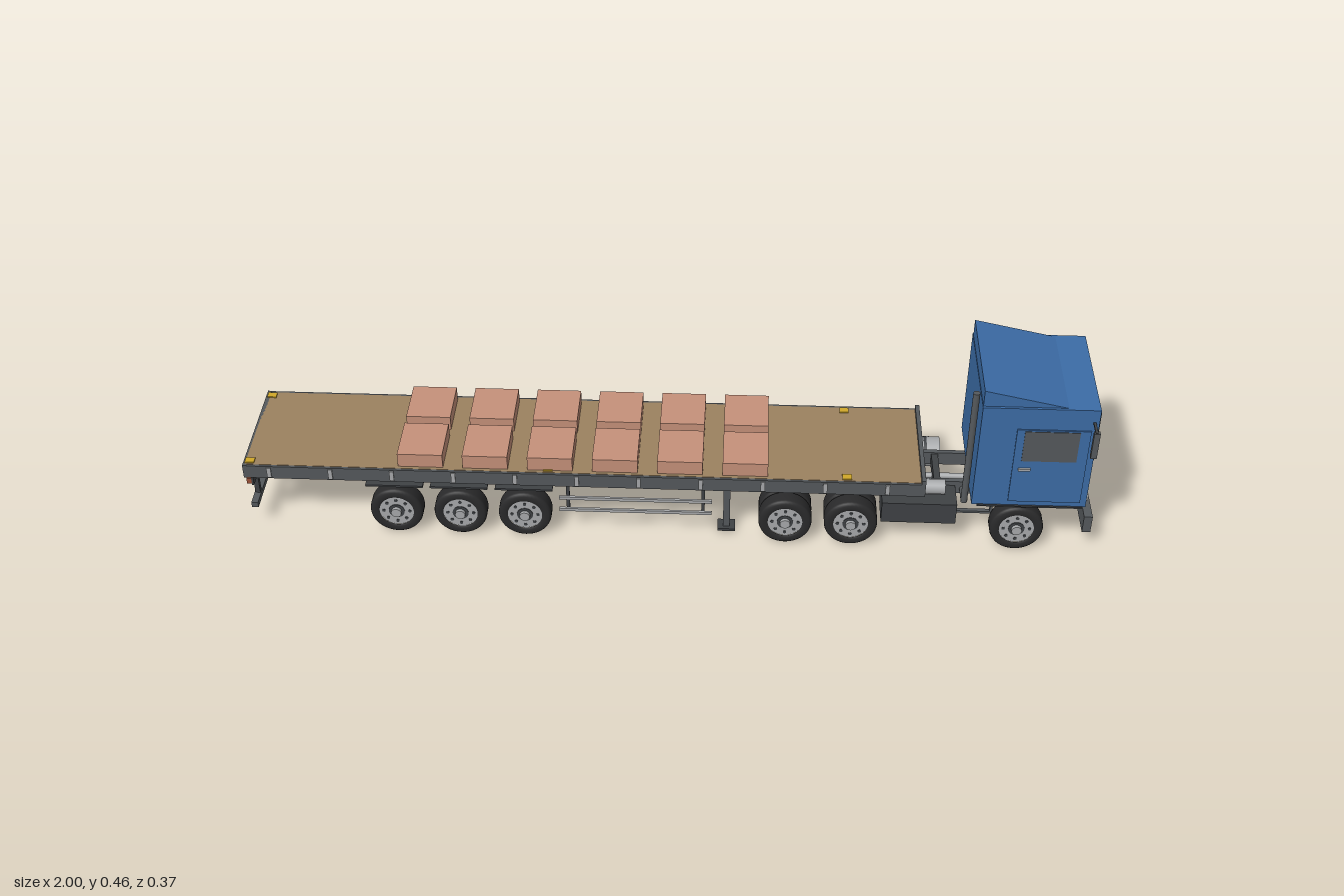
import * as THREE from 'three';

const mat = (name, color, side = THREE.FrontSide) => {
  const m = new THREE.MeshStandardMaterial({ color, side });
  m.name = name;
  return m;
};

export function createModel() {
  const truck = new THREE.Group();
  truck.name = 'flatbedTruck';
  const blue = mat('cabBlue', 0x3c6ca6);
  const grey = mat('slateGrey', 0x55595c);
  const dark = mat('frameDark', 0x3f4245);
  const rubber = mat('tyreRubber', 0x2a2a2b);
  const steel = mat('lightSteel', 0xa8aaac);
  const wood = mat('deckWood', 0x9c8260);
  const crateMat = mat('crateTan', 0xc6917a);
  const white = mat('lampWhite', 0xcdcdc6);
  const yellow = mat('markerYellow', 0xd0a82a);
  const red = mat('tailLampRed', 0x9c5238);

  const add = (name, geo, m, x = 0, y = 0, z = 0, parent = truck) => {
    const mesh = new THREE.Mesh(geo, m);
    mesh.name = name;
    mesh.position.set(x, y, z);
    parent.add(mesh);
    return mesh;
  };
  // Box given by its limits along each axis
  const box = (name, m, x0, x1, y0, y1, z0, z1) =>
    add(name, new THREE.BoxGeometry(x1 - x0, y1 - y0, z1 - z0), m, (x0 + x1) / 2, (y0 + y1) / 2, (z0 + z1) / 2);
  // The same box on both sides of the truck
  const pair = (name, m, x0, x1, y0, y1, z0, z1) => {
    box(name, m, x0, x1, y0, y1, z0, z1);
    box(name, m, x0, x1, y0, y1, -z1, -z0);
  };
  const rod = (name, m, r, len, axis, x, y, z, parent = truck) => {
    const g = new THREE.CylinderGeometry(r, r, len, 24);
    if (axis === 'x') g.rotateZ(Math.PI / 2);
    if (axis === 'z') g.rotateX(Math.PI / 2);
    return add(name, g, m, x, y, z, parent);
  };

  // Wheels: rounded tyre, steel rim, protruding hub
  const R = 0.063, W = 0.044;
  const tyreGeo = new THREE.LatheGeometry([
    [0.041, -W / 2 + 0.003], [0.046, -W / 2], [0.057, -W / 2], [0.0615, -W / 2 + 0.004], [R, -W / 2 + 0.009],
    [R, W / 2 - 0.009], [0.0615, W / 2 - 0.004], [0.057, W / 2], [0.046, W / 2], [0.041, W / 2 - 0.003],
  ].map(([r, y]) => new THREE.Vector2(r, y)), 40);
  tyreGeo.rotateX(Math.PI / 2);
  const wheel = (x, z, side, outer) => {
    const g = new THREE.Group();
    g.name = 'wheel';
    g.position.set(x, R, z);
    add('tyre', tyreGeo, rubber, 0, 0, 0, g);
    rod('rim', steel, 0.0415, W - 0.008, 'z', 0, 0, 0, g);
    if (outer) {
      rod('hubRecess', dark, 0.019, 0.002, 'z', 0, 0, side * (W / 2 - 0.0035), g);
      rod('hub', steel, 0.012, 0.012, 'z', 0, 0, side * W / 2, g);
      for (let i = 0; i < 8; i++) {
        const a = i * Math.PI / 4;
        rod('rimHole', dark, 0.004, 0.002, 'z', 0.031 * Math.cos(a), 0.031 * Math.sin(a), side * (W / 2 - 0.0038), g);
      }
    }
    truck.add(g);
  };
  const axle = (x, dual) => {
    for (const s of [1, -1]) {
      wheel(x, s * 0.127, s, true);
      if (dual) wheel(x, s * 0.084, s, false);
    }
    rod('axle', steel, 0.009, 0.24, 'z', x, R, 0);
  };
  [-0.645, -0.492, -0.338].forEach((x) => {
    axle(x, false);
    pair('mudguard', dark, x - 0.068, x + 0.068, 0.137, 0.142, 0.1, 0.147);
    pair('guardBracket', dark, x - 0.01, x + 0.01, 0.142, 0.16, 0.105, 0.12);
    pair('suspensionArm', dark, x - 0.012, x + 0.012, 0.06, 0.155, 0.052, 0.066);
  });
  [0.28, 0.435].forEach((x) => {
    axle(x, true);
    add('differential', new THREE.SphereGeometry(0.028, 24, 16), grey, x, R, 0);
    pair('spring', dark, x - 0.05, x + 0.05, 0.08, 0.09, 0.048, 0.06);
  });
  axle(0.825, false);
  pair('frontSpring', dark, 0.75, 0.9, 0.078, 0.086, 0.05, 0.065);

  // Trailer deck and its frame
  box('deckBoards', wood, -0.995, 0.596, 0.18, 0.19, -0.141, 0.141);
  pair('sideRail', grey, -0.997, 0.6, 0.154, 0.189, 0.139, 0.147);
  pair('mainBeam', dark, -0.99, 0.596, 0.15, 0.181, 0.05, 0.062);
  for (let i = 0; i < 17; i++) {
    const x = -0.94 + i * 0.0938;
    box('crossMember', dark, x - 0.005, x + 0.005, 0.158, 0.181, -0.14, 0.14);
  }
  box('rearFrame', grey, -1, -0.99, 0.154, 0.19, -0.147, 0.147);
  box('headboard', grey, 0.593, 0.603, 0.154, 0.2, -0.147, 0.147);
  for (let i = 0; i < 11; i++) {
    const x = -0.938 + i * 0.1453;
    pair('stakePocket', steel, x - 0.005, x + 0.005, 0.158, 0.186, 0.147, 0.15);
  }
  for (const x of [-0.985, -0.28, 0.42]) pair('lashingMarker', yellow, x - 0.011, x + 0.011, 0.189, 0.193, 0.119, 0.137);

  // Load: two rows of crates
  for (let i = 0; i < 6; i++) {
    const x = -0.58 + i * 0.1525;
    pair('crate', crateMat, x - 0.053, x + 0.053, 0.19, 0.226, 0.0125, 0.133);
  }

  // Rear underrun bar, plate and lamps
  pair('underrunPost', dark, -0.995, -0.983, 0.06, 0.156, 0.085, 0.097);
  box('underrunBar', grey, -0.997, -0.981, 0.053, 0.067, -0.135, 0.135);
  box('rearPlate', white, -0.994, -0.988, 0.1, 0.125, -0.034, 0.034);
  box('plateHolder', dark, -0.988, -0.984, 0.095, 0.156, -0.037, 0.037);
  pair('tailLamp', red, -0.998, -0.986, 0.128, 0.144, 0.108, 0.138);
  pair('tailLampBracket', dark, -0.986, -0.981, 0.126, 0.156, 0.106, 0.14);

  // Side guards and landing legs
  for (const y of [0.075, 0.11]) pair('sideGuard', steel, -0.256, 0.106, y - 0.004, y + 0.004, 0.132, 0.138);
  for (const x of [-0.235, 0.085]) pair('guardPost', dark, x - 0.004, x + 0.004, 0.07, 0.16, 0.126, 0.132);
  pair('landingLeg', grey, 0.133, 0.149, 0.008, 0.16, 0.09, 0.106);
  pair('landingFoot', dark, 0.12, 0.162, 0.004, 0.011, 0.08, 0.116);
  box('legBrace', dark, 0.137, 0.145, 0.095, 0.105, -0.09, 0.09);

  // Tractor chassis
  pair('chassisRail', grey, 0.18, 0.97, 0.096, 0.131, 0.048, 0.06);
  for (const x of [0.19, 0.36, 0.52, 0.64, 0.75, 0.94]) box('chassisCrossbar', dark, x - 0.008, x + 0.008, 0.1, 0.127, -0.05, 0.05);
  const fifthWheel = rod('couplingPlate', dark, 0.055, 0.016, 'y', 0.36, 0.14, 0);
  fifthWheel.scale.set(1.2, 1, 1);
  rod('driveShaft', steel, 0.007, 0.36, 'x', 0.6, 0.1, 0);
  box('engineBlock', dark, 0.78, 0.95, 0.09, 0.136, -0.035, 0.035);

  // Fuel tank on one side, equipment box and air tank on the other
  rod('fuelTank', steel, 0.037, 0.155, 'x', 0.578, 0.094, -0.1);
  for (const x of [0.535, 0.62]) rod('tankStrap', dark, 0.0378, 0.007, 'x', x, 0.094, -0.1);
  box('equipmentBox', dark, 0.506, 0.682, 0.064, 0.121, 0.062, 0.135);
  rod('airTank', steel, 0.018, 0.125, 'x', 0.592, 0.139, 0.09);
  pair('stepBar', grey, 0.65, 0.77, 0.073, 0.079, 0.095, 0.105);
  pair('stepHanger', grey, 0.764, 0.77, 0.073, 0.14, 0.095, 0.105);
  rod('exhaustStack', grey, 0.008, 0.32, 'y', 0.701, 0.265, 0.1);
  rod('exhaustElbow', grey, 0.008, 0.05, 'z', 0.701, 0.11, 0.078);

  // Cab with a sloped roof fairing
  box('cabBody', blue, 0.712, 0.977, 0.136, 0.418, -0.146, 0.146);
  const roof = new THREE.Shape([[0.713, 0.417], [0.91, 0.417], [0.713, 0.46]].map(([x, y]) => new THREE.Vector2(x, y)));
  const roofGeo = new THREE.ExtrudeGeometry(roof, { depth: 0.28, bevelEnabled: false });
  add('roofFairing', roofGeo, blue, 0, 0, -0.14);
  pair('cabSill', dark, 0.725, 0.97, 0.133, 0.137, 0.135, 0.15);
  pair('door', blue, 0.795, 0.962, 0.15, 0.36, 0.146, 0.149);
  pair('sideWindow', grey, 0.813, 0.938, 0.271, 0.356, 0.149, 0.1505);
  pair('doorHandle', steel, 0.808, 0.836, 0.244, 0.25, 0.149, 0.154);
  box('windscreen', grey, 0.977, 0.98, 0.27, 0.405, -0.138, 0.138);
  box('grille', grey, 0.977, 0.98, 0.165, 0.249, -0.1, 0.1);
  pair('headlight', white, 0.977, 0.982, 0.147, 0.165, 0.098, 0.136);
  box('frontBumper', grey, 0.98, 1, 0.055, 0.101, -0.141, 0.141);
  pair('bumperBracket', dark, 0.955, 0.982, 0.07, 0.11, 0.045, 0.06);

  // Mirrors on arms
  pair('mirrorArm', dark, 0.963, 0.969, 0.381, 0.385, 0.14, 0.186);
  pair('mirror', grey, 0.96, 0.974, 0.312, 0.383, 0.176, 0.187);

  return truck;
}
